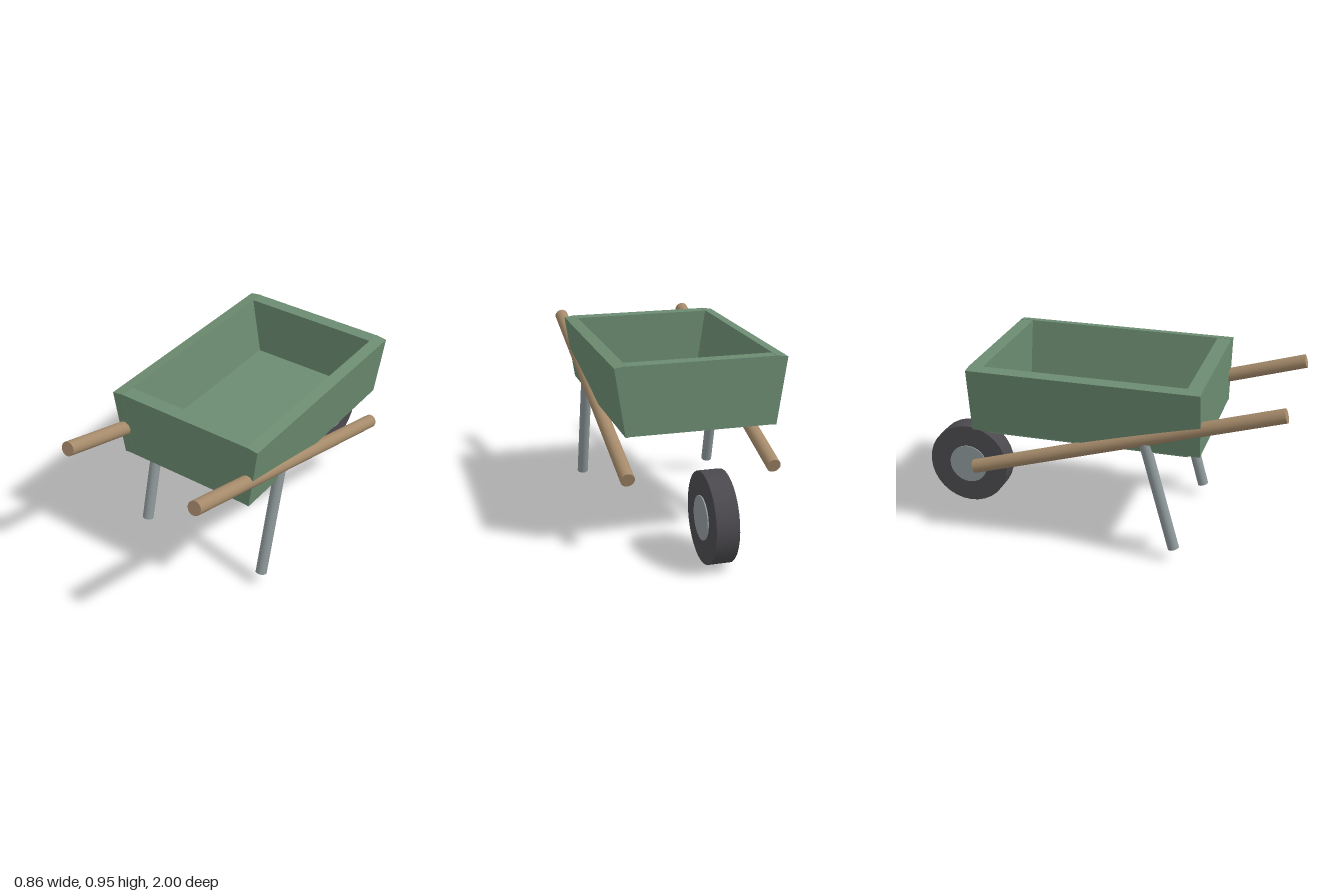
import * as THREE from 'three';

const paint = (name, color) => {
  const m = new THREE.MeshStandardMaterial({ color });
  m.name = name;
  return m;
};

export function createModel() {
  const green = paint('green paint', 0x6c8c71);
  const wood = paint('wood', 0xa58a6a);
  const metal = paint('grey metal', 0x8f999b);
  const rubber = paint('dark rubber', 0x4b494e);

  const model = new THREE.Group();
  model.name = 'wheelbarrow';

  const add = (name, geometry, material, x = 0, y = 0, z = 0) => {
    const mesh = new THREE.Mesh(geometry, material);
    mesh.name = name;
    mesh.position.set(x, y, z);
    model.add(mesh);
    return mesh;
  };

  // Round bar between two points
  const up = new THREE.Vector3(0, 1, 0);
  const bar = (name, a, b, radius, material) => {
    const from = new THREE.Vector3(...a), to = new THREE.Vector3(...b);
    const dir = to.clone().sub(from);
    const mesh = add(name, new THREE.CylinderGeometry(radius, radius, dir.length(), 32), material);
    mesh.position.copy(from).add(to).multiplyScalar(0.5);
    mesh.quaternion.setFromUnitVectors(up, dir.normalize());
  };

  // Tray: floor, upright end boards, side boards leaning outward
  add('trayFloor', new THREE.BoxGeometry(0.7, 0.06, 1.05), green, 0, 0.605, -0.003);
  add('trayFront', new THREE.BoxGeometry(0.746, 0.345, 0.075), green, 0, 0.772, 0.552);
  add('trayBack', new THREE.BoxGeometry(0.746, 0.345, 0.07), green, 0, 0.772, -0.565);

  for (const [side, s] of [['left', 1], ['right', -1]]) {
    const board = add(side + 'TraySide', new THREE.BoxGeometry(0.06, 0.345, 1.19), green, s * 0.376, 0.771, -0.005);
    board.rotation.z = -s * 0.15;

    // Long sloping handle and raked leg
    bar(side + 'Handle', [s * 0.373, 0.383, -0.6], [s * 0.373, 0.865, 0.992], 0.036, wood);
    bar(side + 'Leg', [s * 0.373, 0.066, 0.469], [s * 0.373, 0.64, 0.308], 0.029, metal);
  }

  // Wheel with a hub standing slightly proud on both sides
  const tyre = add('tyre', new THREE.CylinderGeometry(0.225, 0.225, 0.113, 32), rubber, 0, 0.225, -0.775);
  const hub = add('hub', new THREE.CylinderGeometry(0.108, 0.108, 0.126, 32), metal, 0, 0.225, -0.775);
  tyre.rotation.z = hub.rotation.z = Math.PI / 2;

  return model;
}
